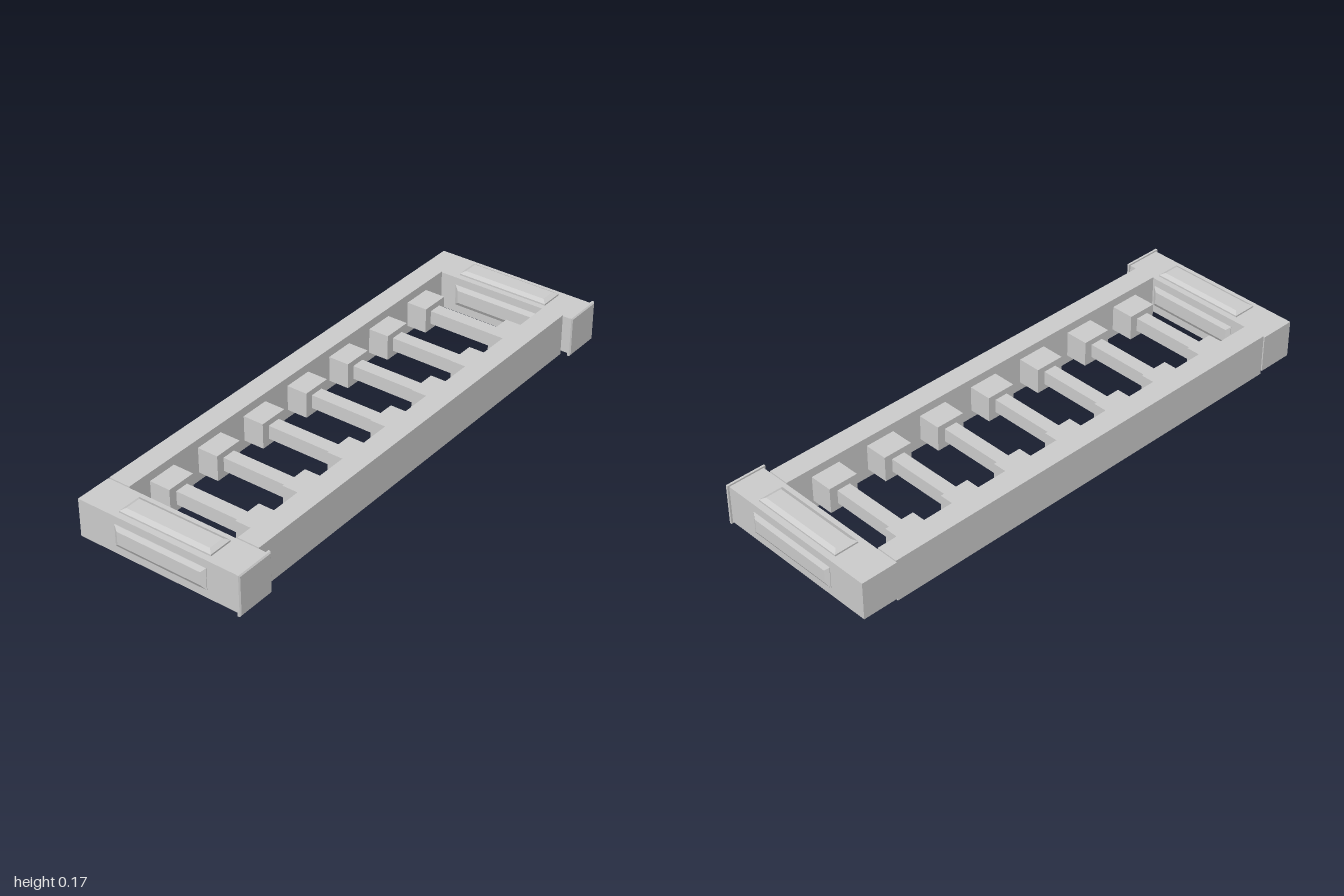
import * as THREE from 'three';

const material = new THREE.MeshStandardMaterial({ color: 0xcccccc, flatShading: true });

function add(parent, name, geometry, x, y, z) {
  const mesh = new THREE.Mesh(geometry, material);
  mesh.name = name;
  mesh.position.set(x, y, z);
  parent.add(mesh);
  return mesh;
}

// Box given by its limits on each axis
function block(parent, name, [x0, x1], [y0, y1], [z0, z1]) {
  return add(parent, name, new THREE.BoxGeometry(x1 - x0, y1 - y0, z1 - z0),
    (x0 + x1) / 2, (y0 + y1) / 2, (z0 + z1) / 2);
}

// Plate lying on z = 0 with a straight rim and a bevel up to a smaller face
function bevelledPlate(w, h, rim, depth, inset) {
  const geo = new THREE.BoxGeometry(w, h, 2, 1, 1, 2);
  const p = geo.attributes.position;
  for (let i = 0; i < p.count; i++) {
    const level = Math.round(p.getZ(i)) + 1;
    const cut = level === 2 ? inset : 0;
    p.setXYZ(i, Math.sign(p.getX(i)) * (w / 2 - cut),
      Math.sign(p.getY(i)) * (h / 2 - cut), [0, rim, depth][level]);
  }
  const flat = geo.toNonIndexed();
  flat.computeVertexNormals();
  return flat;
}

export function createModel() {
  const model = new THREE.Group();
  model.name = 'railing';

  // Long rails
  block(model, 'frontRail', [-0.85, 0.85], [0, 0.161], [0.2, 0.284]);
  block(model, 'backRail', [-0.85, 0.85], [0, 0.161], [-0.322, -0.238]);

  // Balusters with a square socket at each end
  for (let i = -3; i <= 3; i++) {
    const x = i * 0.232 - 0.003;
    const baluster = new THREE.Group();
    baluster.name = 'baluster';
    baluster.position.x = x;
    model.add(baluster);
    block(baluster, 'bar', [-0.026, 0.026], [0.055, 0.107], [-0.158, 0.112]);
    block(baluster, 'backSocket', [-0.057, 0.057], [0.032, 0.129], [-0.238, -0.157]);
    block(baluster, 'frontSocket', [-0.057, 0.057], [0.032, 0.129], [0.112, 0.2]);
  }

  // End posts with raised panels and a front cap
  for (const side of [-1, 1]) {
    const post = new THREE.Group();
    post.name = side > 0 ? 'leftPost' : 'rightPost';
    post.position.x = side * 0.92;
    model.add(post);
    block(post, 'postBody', [-0.069, 0.069], [0.014, 0.157], [-0.326, 0.317]);
    add(post, 'frontCap', bevelledPlate(0.152, 0.155, 0.008, 0.012, 0.005), 0, 0.0855, 0.315);

    const top = add(post, 'topPanel', bevelledPlate(0.092, 0.368, 0.006, 0.015, 0.016), 0, 0.157, 0.009);
    top.rotation.x = -Math.PI / 2;

    for (const face of [-1, 1]) {
      const panel = add(post, 'sidePanel', bevelledPlate(0.368, 0.082, 0.003, 0.012, 0.016),
        face * 0.068, 0.086, 0.009);
      panel.rotation.y = face * Math.PI / 2;
    }
  }
  return model;
}
